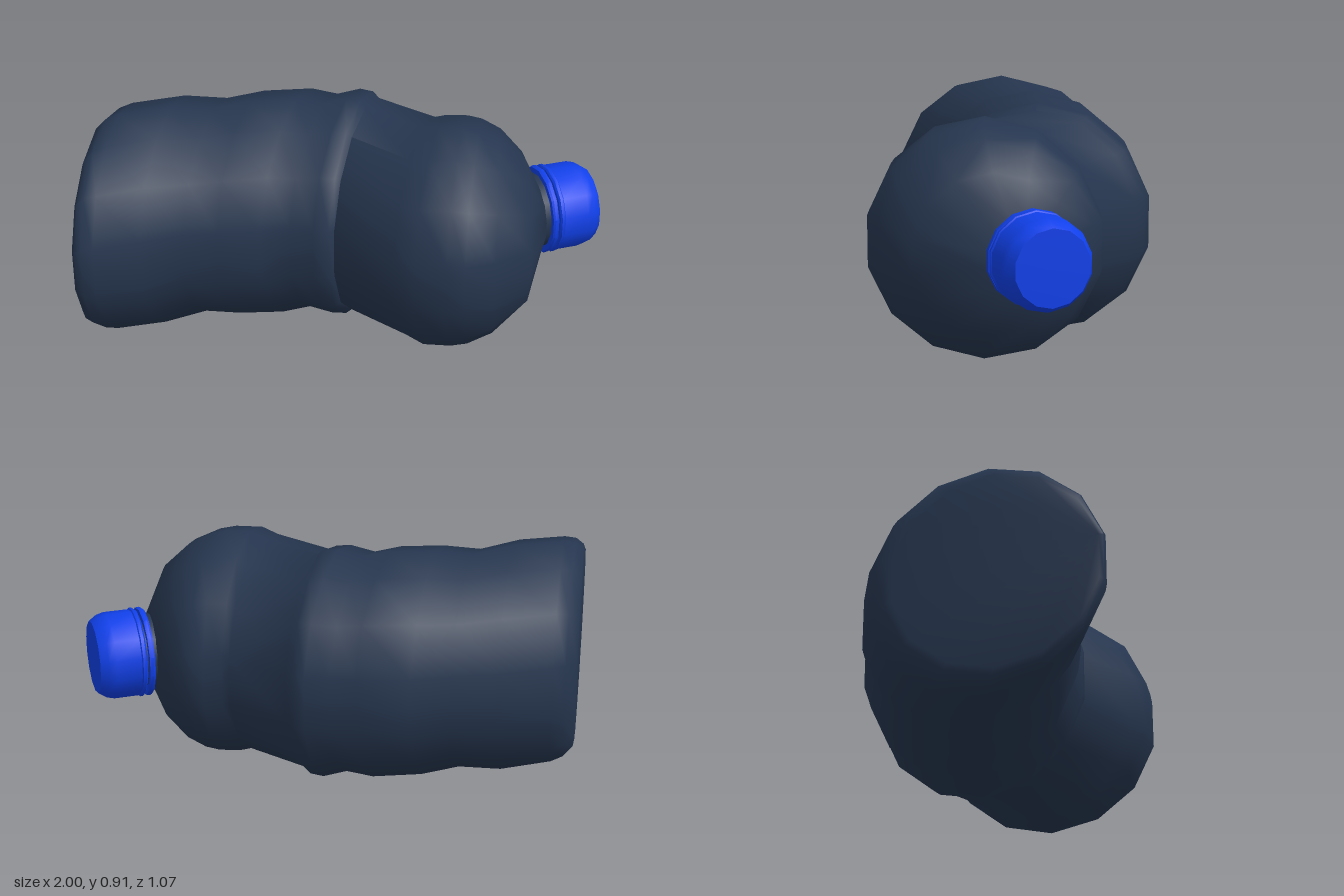
import * as THREE from 'three';
import { toCreasedNormals } from 'three/addons/utils/BufferGeometryUtils.js';

const SIDES = 14;
const CENTRE_Y = 0.457;

// Cross-sections of the bent bottle: back x, back z, front x, front z, half height
const RINGS = [
  [-0.93, -0.26, -1.0, 0.485, 0.38],
  [-0.925, -0.29, -0.99, 0.5, 0.405],
  [-0.88, -0.34, -0.965, 0.505, 0.436],
  [-0.83, -0.37, -0.92, 0.495, 0.449],
  [-0.62, -0.44, -0.75, 0.43, 0.455],
  [-0.45, -0.46, -0.6, 0.36, 0.43],
  [-0.3, -0.51, -0.47, 0.35, 0.45],
  [-0.1, -0.53, -0.31, 0.32, 0.455],
  [0.0, -0.515, -0.2, 0.29, 0.434],
  [0.09, -0.535, -0.11, 0.31, 0.457],
  [0.14, -0.515, -0.05, 0.31, 0.453],
  [0.165, -0.48, -0.03, 0.295, 0.433],
  [0.39, -0.34, 0.2, 0.48, 0.433],
  [0.42, -0.335, 0.28, 0.525, 0.453],
  [0.49, -0.337, 0.4, 0.53, 0.454],
  [0.54, -0.338, 0.47, 0.53, 0.44],
  [0.6, -0.305, 0.58, 0.48, 0.4],
  [0.665, -0.235, 0.72, 0.35, 0.3],
  [0.685, -0.21, 0.785, 0.07, 0.15],
];

function bottleGeometry() {
  const points = [];
  const index = [];
  for (const [bx, bz, fx, fz, h] of RINGS) {
    const widen = 0.5 / Math.cos(Math.PI / SIDES);
    for (let k = 0; k < SIDES; k++) {
      const t = (Math.PI / SIDES) * (1 + 2 * k);
      const c = Math.cos(t) * widen;
      points.push(
        (bx + fx) / 2 + (fx - bx) * c,
        CENTRE_Y + h * Math.sin(t),
        (bz + fz) / 2 + (fz - bz) * c
      );
    }
  }
  // skin between neighbouring sections
  const last = RINGS.length - 1;
  for (let i = 0; i < last; i++) {
    for (let k = 0; k < SIDES; k++) {
      const n = (k + 1) % SIDES;
      const a = i * SIDES + k, b = i * SIDES + n;
      const c = a + SIDES, d = b + SIDES;
      index.push(a, c, b, c, d, b);
    }
  }
  // flat base and closed top
  for (let k = 1; k < SIDES - 1; k++) {
    const o = last * SIDES;
    index.push(0, k, k + 1, o, o + k + 1, o + k);
  }
  const g = new THREE.BufferGeometry();
  g.setAttribute('position', new THREE.Float32BufferAttribute(points, 3));
  g.setIndex(index);
  return toCreasedNormals(g, 0.85);
}

// Turned part whose axis runs along +x
function turned(profile) {
  const pts = profile.map(([r, t]) => new THREE.Vector2(r, t));
  const g = new THREE.LatheGeometry(pts, SIDES, Math.PI / SIDES);
  g.rotateZ(-Math.PI / 2);
  g.deleteAttribute('normal');
  g.deleteAttribute('uv');
  return toCreasedNormals(g, 0.6);
}

export function createModel() {
  const group = new THREE.Group();
  const dark = new THREE.MeshStandardMaterial({ color: 0x26364f });
  const blue = new THREE.MeshStandardMaterial({ color: 0x1040ea });

  function add(name, geometry, material, parent) {
    const mesh = new THREE.Mesh(geometry, material);
    mesh.name = name;
    parent.add(mesh);
  }

  add('bottleBody', bottleGeometry(), dark, group);

  // neck, sealing ring and cap share the tilted axis of the mouth
  const mouth = new THREE.Group();
  mouth.name = 'mouth';
  mouth.position.set(0.75, CENTRE_Y + 0.009, -0.08);
  mouth.rotation.y = 0.38;
  group.add(mouth);

  add('neck', turned([[0, -0.05], [0.15, -0.05], [0.15, 0.05], [0, 0.05]]), dark, mouth);
  add('sealRing', turned([[0, 0], [0.172, 0], [0.176, 0.008], [0.174, 0.022], [0, 0.022]]), blue, mouth);
  add('cap', turned([
    [0, 0.03], [0.17, 0.03], [0.176, 0.036], [0.176, 0.048], [0.171, 0.052],
    [0.171, 0.15], [0.163, 0.18], [0.143, 0.21], [0, 0.213],
  ]), blue, mouth);

  return group;
}
